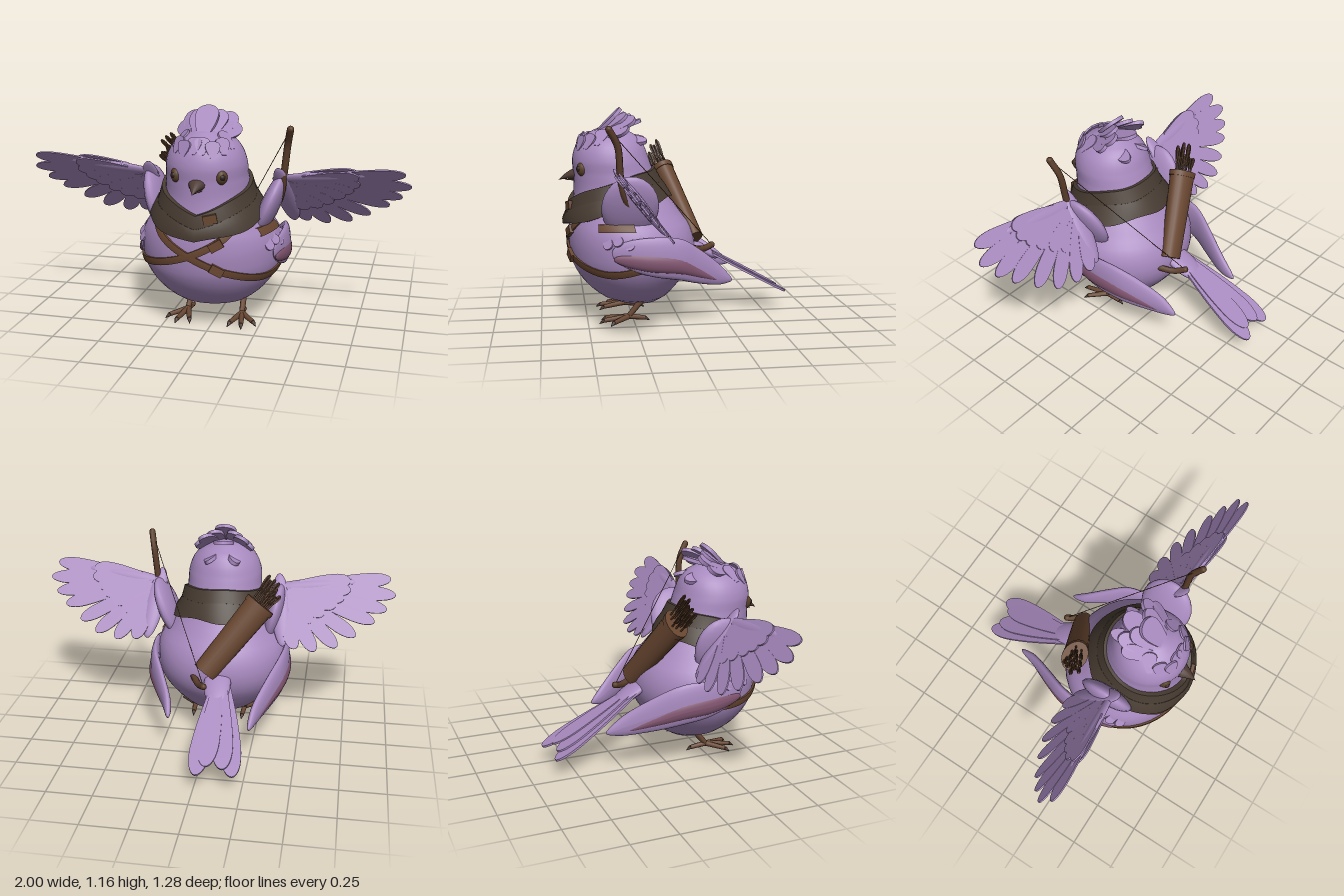
import * as THREE from 'three';
import { toCreasedNormals } from 'three/addons/utils/BufferGeometryUtils.js';
import { ParametricGeometry } from 'three/addons/geometries/ParametricGeometry.js';

const material = (name, color) => {
  const m = new THREE.MeshStandardMaterial({ color, side: THREE.DoubleSide });
  m.name = name;
  return m;
};
const V = (x, y, z) => new THREE.Vector3(x, y, z);
const CX = -0.03; // the body's middle line

// Body cross-sections: height, half width, front z, back z
const ROWS = [
  [0.08, 0.005, 0.22, 0.2], [0.088, 0.13, 0.33, 0.1], [0.12, 0.2, 0.41, 0.05], [0.2, 0.29, 0.505, -0.02],
  [0.3, 0.355, 0.57, -0.085], [0.4, 0.375, 0.592, -0.105], [0.5, 0.362, 0.592, -0.08], [0.6, 0.298, 0.575, -0.01],
  [0.7, 0.232, 0.562, 0.06], [0.8, 0.213, 0.562, 0.12], [0.88, 0.208, 0.567, 0.15], [0.95, 0.183, 0.548, 0.175],
  [1.0, 0.138, 0.508, 0.21], [1.035, 0.08, 0.45, 0.27], [1.05, 0.004, 0.37, 0.36],
];
const LAST = ROWS.length - 1;

function section(y) {
  let i = 0;
  while (i < LAST - 1 && y > ROWS[i + 1][0]) i++;
  const slope = (k, c) => {
    const a = ROWS[Math.max(k - 1, 0)], b = ROWS[Math.min(k + 1, LAST)];
    return (b[c] - a[c]) / (b[0] - a[0]);
  };
  const p = ROWS[i], q = ROWS[i + 1], h = q[0] - p[0];
  const t = THREE.MathUtils.clamp((y - p[0]) / h, 0, 1);
  return [1, 2, 3].map((c) => {
    if (i < 2 || i > LAST - 3) return p[c] + (q[c] - p[c]) * t;
    const t2 = t * t, t3 = t2 * t;
    return (2 * t3 - 3 * t2 + 1) * p[c] + (t3 - 2 * t2 + t) * h * slope(i, c)
      + (3 * t2 - 2 * t3) * q[c] + (t3 - t2) * h * slope(i + 1, c);
  });
}

// Point on the body: angle 0 is the front, positive towards +x
function bodyPoint(y, a, off = 0) {
  const [w, f, b] = section(y);
  return V(CX + (w + off) * Math.sin(a), y, (f + b) / 2 + ((f - b) / 2 + off) * Math.cos(a));
}

// Unit feather: runs along y from 0 to 1, flat in z
function featherGeometry() {
  const s = new THREE.Shape();
  s.moveTo(-0.16, 0);
  s.bezierCurveTo(-0.35, 0.3, -0.5, 0.5, -0.5, 0.75);
  s.bezierCurveTo(-0.48, 0.92, -0.22, 1, 0, 1);
  s.bezierCurveTo(0.22, 1, 0.48, 0.92, 0.5, 0.75);
  s.bezierCurveTo(0.5, 0.5, 0.35, 0.3, 0.16, 0);
  return new THREE.ExtrudeGeometry(s, { depth: 1, bevelEnabled: false, curveSegments: 6 }).translate(0, 0, -0.5);
}
const FEATHER = featherGeometry();
const BLOB = new THREE.SphereGeometry(0.5, 20, 14).translate(0, 0.5, 0);

// Places a unit geometry from one point to another, with width, thickness and facing
function put(parent, name, geo, mat, from, to, w, t, facing) {
  const dir = to.clone().sub(from), len = dir.length();
  dir.normalize();
  const n = (facing || (Math.abs(dir.z) < 0.9 ? V(0, 0, 1) : V(1, 0, 0))).clone();
  n.addScaledVector(dir, -n.dot(dir)).normalize();
  const m = new THREE.Mesh(geo, mat);
  m.name = name;
  m.quaternion.setFromRotationMatrix(new THREE.Matrix4().makeBasis(dir.clone().cross(n), dir, n));
  m.position.copy(from);
  m.scale.set(w, len, t);
  parent.add(m);
  return m;
}
const rod = (parent, name, mat, from, to, r0, r1, sides = 8, w = 1, facing = undefined) =>
  put(parent, name, new THREE.CylinderGeometry(r1, r0, 1, sides).translate(0, 0.5, 0), mat, from, to, w, 1, facing);

export function createModel() {
  const model = new THREE.Group();
  const plumage = material('purple plumage', 0xa88abf), patch = material('plum wing patch', 0x80546f);
  const cloth = material('dark scarf cloth', 0x473b31), leather = material('brown leather', 0x684630);
  const wood = material('dark wood', 0x593c29), skin = material('brown feet', 0x684733);
  const horn = material('dark beak', 0x4f3c35), iris = material('brown eye', 0x5a4029), black = material('pupil', 0x2c211b);
  const mesh = (name, geo, mat, parent = model) => {
    const m = new THREE.Mesh(geo, mat);
    m.name = name;
    parent.add(m);
    return m;
  };

  // Body and head in one smooth form
  mesh('body', new ParametricGeometry((u, v, p) => {
    const s = v * LAST, i = Math.min(Math.floor(s), LAST - 1);
    p.copy(bodyPoint(ROWS[i][0] + (ROWS[i + 1][0] - ROWS[i][0]) * (s - i), u * Math.PI * 2));
  }, 40, LAST * 3), plumage);

  // Bands wrapped around the body; f(t) gives angle, low y, high y, thickness
  const wrap = (name, mat, n, f) => mesh(name, toCreasedNormals(new ParametricGeometry((u, v, p) => {
    const [a, lo, hi, off] = f(u), k = Math.round(v * 5) % 5;
    const y = [lo, lo, (lo + hi) / 2, hi, hi][k];
    p.copy(bodyPoint(y, a, [-0.01, off, off * 1.25, off, -0.01][k]));
  }, n, 5), 0.7), mat);
  const scarf = (name, lo, hi, off, ripple) => wrap(name, cloth, 56, (t) => {
    const a = t * Math.PI * 2, lift = Math.abs(Math.sin(a / 2));
    const r = ripple * Math.sin(a * 5 + 1);
    return [a, lo + 0.16 * lift + r, hi + 0.18 * lift - r * 0.5, off * (1 - 0.4 * lift)];
  });
  scarf('scarf', 0.53, 0.65, 0.026, 0.006);
  scarf('scarfFold', 0.515, 0.585, 0.034, 0.008);
  const strap = (name, pts) => {
    const c = new THREE.CatmullRomCurve3(pts.map(([a, y]) => V(a, y, 0)));
    wrap(name, leather, 36, (t) => {
      const p = c.getPoint(t);
      return [p.x, p.y - 0.02, p.y + 0.02, 0.01];
    });
  };
  strap('quiverStrap', [[-1.9, 0.35], [-1.15, 0.345], [-0.6, 0.375], [-0.1, 0.435], [0.35, 0.52], [0.6, 0.58]]);
  strap('bowStrap', [[-0.8, 0.58], [-0.45, 0.5], [0, 0.415], [0.4, 0.35], [1.1, 0.295], [1.9, 0.35]]);
  strap('shoulderStrap', [[1.0, 0.54], [1.3, 0.545], [1.6, 0.545]]);
  for (const [y, a, tilt] of [[0.368, 0.28, -0.5], [0.635, 0.25, 0.2], [0.5, 0.28, 0.5]]) {
    const b = mesh('buckle', new THREE.BoxGeometry(0.07, 0.045, 0.02), leather);
    b.position.copy(bodyPoint(y, a, y > 0.6 ? 0.03 : 0.012));
    b.rotation.set(0, a, tilt, 'YXZ');
  }

  // Face, with a hooked beak
  const beak = new THREE.ConeGeometry(0.5, 1, 14, 6).translate(0, 0.5, 0), bp = beak.attributes.position;
  for (let i = 0; i < bp.count; i++) bp.setZ(i, bp.getZ(i) + 0.45 * bp.getY(i) * (1 - bp.getY(i)));
  beak.computeVertexNormals();
  put(model, 'upperBeak', beak, horn, V(CX, 0.796, 0.53), V(CX, 0.764, 0.642), 0.11, 0.08, V(0, 1, 0));
  put(model, 'lowerBeak', new THREE.ConeGeometry(0.5, 1, 12).translate(0, 0.5, 0), horn,
    V(CX, 0.774, 0.53), V(CX, 0.763, 0.61), 0.09, 0.03, V(0, 1, 0));
  for (const s of [-1, 1]) {
    const eye = mesh('eye', new THREE.SphereGeometry(1, 20, 14), iris);
    eye.scale.set(0.031, 0.041, 0.039);
    eye.position.copy(bodyPoint(0.834, s * 0.63, -0.018));
    const pupil = mesh('pupil', new THREE.SphereGeometry(0.017, 14, 10), black);
    pupil.position.copy(bodyPoint(0.836, s * 0.6, 0.007));
  }

  // Crest: tip and width of each feather, mirrored when off the middle
  const crest = [[0, 1.15, 0.3, 0.12], [0.115, 1.1, 0.23, 0.09], [0, 1.085, 0.19, 0.11], [0.15, 1.05, 0.27, 0.085],
    [0.075, 0.975, 0.165, 0.075], [0.065, 1.12, 0.27, 0.09]];
  for (const s of [-1, 1]) {
    for (const [x, y, z, w] of crest) if (x || s > 0)
      put(model, 'crestFeather', FEATHER, plumage, V(CX + s * x * 0.4, 1.0, 0.45), V(CX + s * x, y, z), w, 0.02, V(s * x * 4, 0.8, 0.6));
    for (const [a, y] of [[0.12, 0.945], [0.42, 0.93], [0.75, 0.94], [1.1, 0.96]])
      put(model, 'foreheadTuft', FEATHER, plumage, bodyPoint(y, s * a, -0.004), bodyPoint(y + 0.08, s * a * 1.1, 0.035), 0.075, 0.01,
        V(s * Math.sin(a), 0.5, Math.cos(a)));
  }

  // Raised wings: feathers fanned in one slanted plane
  const tips = [[0.97, 0.86], [1.0, 0.785], [0.955, 0.715], [0.89, 0.655], [0.79, 0.585], [0.69, 0.53], [0.57, 0.505], [0.46, 0.51]];
  for (const s of [-1, 1]) {
    const wing = new THREE.Group();
    wing.name = s > 0 ? 'leftWing' : 'rightWing';
    model.add(wing);
    const P = (x, y, off = 0) => V(s * x, y + off * 0.61, 0.37 - (0.86 - y) * 0.77 - off * 0.79);
    const n = V(0, 0.61, -0.79);
    tips.forEach(([x, y], i) => {
      const k = i / (tips.length - 1), bx = 0.52 - 0.16 * k, by = 0.82 - 0.1 * k;
      put(wing, 'flightFeather', FEATHER, plumage, P(bx, by, i * 0.002), P(x, y, i * 0.002), 0.084, 0.008, n);
      for (const side of [-1, 1])
        put(wing, 'covertFeather', FEATHER, plumage, P(bx - 0.06, by, side * 0.01),
          P(bx + (x - bx) * 0.5, by + (y - by) * 0.5, side * 0.012), 0.085, 0.008, n);
    });
    put(wing, 'wingArm', BLOB, plumage, P(0.3, 0.79), P(0.78, 0.84), 0.075, 0.035, n);
    put(wing, 'wingRoot', BLOB, plumage, P(0.34, 0.86), P(0.39, 0.52), 0.11, 0.05, n);
    put(wing, 'shoulder', BLOB, plumage, V(CX + s * 0.25, 0.48, 0.28), V(s * 0.36, 0.82, 0.28), 0.1, 0.3);

    // Folded wings along the flanks, bent from spheres; the right one is longer
    const reach = s > 0 ? 0.8 : 1;
    const spine = new THREE.CatmullRomCurve3([V(0.355, 0.42, 0.38), V(0.375, 0.4, 0.2), V(0.355, 0.378, 0.03),
      V(0.305, 0.33, -0.1), V(0.245, 0.268, -0.25), V(0.225, 0.23, -0.35)]);
    const flank = (name, mat, u0, u1, drop, height, thick, out) => {
      const g = new THREE.SphereGeometry(1, 20, 28).rotateX(Math.PI / 2), p = g.attributes.position;
      for (let i = 0; i < p.count; i++) {
        const u = (1 - p.getZ(i)) / 2, c = spine.getPoint(u0 + (u1 - u0) * u);
        p.setXYZ(i, CX + s * (c.x + out + s * p.getX(i) * thick), c.y - drop + p.getY(i) * height * (1.1 - 0.7 * u * u),
          c.z < 0 ? c.z * reach : c.z);
      }
      g.computeVertexNormals();
      mesh(name, g, mat);
    };
    flank('foldedWing', plumage, 0, 1, 0, 0.115, 0.03, 0);
    flank('wingPatch', patch, 0.01, 0.82, 0.03, 0.052, 0.028, 0.009);
    for (let i = 0; i < 4; i++) {
      const a = s * (1.1 + i * 0.16);
      put(model, 'flankTuft', FEATHER, plumage, bodyPoint(0.52, a, -0.02), bodyPoint(0.44 + 0.02 * (i % 2), a * 1.04, 0.014), 0.055, 0.01,
        V(Math.sin(a), 0, Math.cos(a)));
    }

    // Legs and toes
    const FX = -0.012, ankle = V(FX + s * 0.15, 0.03, 0.28);
    rod(model, 'leg', skin, V(FX + s * 0.145, 0.14, 0.19), ankle, 0.018, 0.015);
    for (const [x, z] of [[0.11, 0.4], [0.175, 0.415], [0.23, 0.365], [0.145, 0.19]]) {
      const end = V(FX + s * x, 0.018, z);
      rod(model, 'toe', skin, ankle, end, 0.016, 0.012);
      const claw = end.clone().add(end.clone().sub(ankle).setY(0).setLength(0.025)).setY(0.003);
      rod(model, 'claw', horn, end, claw, 0.012, 0.002);
    }
  }

  // Tail
  put(model, 'rump', BLOB, plumage, V(-0.04, 0.44, 0.0), V(-0.07, 0.3, -0.25), 0.15, 0.06, V(0, 0.88, -0.48));
  [[-0.1, -0.205, 0.098, -0.615], [-0.05, -0.015, 0.1, -0.635], [-0.08, -0.15, 0.115, -0.59], [-0.06, -0.06, 0.12, -0.59]]
    .forEach(([x0, x1, y, z], i) => put(model, 'tailFeather', FEATHER, plumage,
      V(x0, 0.385 + i * 0.005, -0.1), V(x1, y + i * 0.004, z), 0.115, 0.012, V(0, 0.88, -0.48)));

  // Quiver, flattened against the back, with arrows
  const mouth = V(-0.265, 0.79, 0.045), base = V(0.02, 0.43, -0.1), outward = V(-0.15, 0.3, -1);
  const axis = mouth.clone().sub(base).normalize();
  const along = (d) => mouth.clone().addScaledVector(axis, d);
  rod(model, 'quiver', leather, base, mouth, 0.05, 0.062, 20, 1.35, outward);
  rod(model, 'quiverRim', leather, along(-0.025), along(0.005), 0.065, 0.066, 20, 1.35, outward);
  const side = axis.clone().cross(outward).normalize(), up = axis.clone().cross(side);
  for (let i = 0; i < 13; i++) {
    const a = i * 2.4, r = 0.016 * Math.sqrt(i);
    const spread = (k) => side.clone().multiplyScalar(Math.cos(a) * r * k * 1.2).addScaledVector(up, Math.sin(a) * r * k * 0.8);
    const from = along(-0.02).add(spread(0.9)), to = along(0.09 + 0.07 * ((i * 7 % 5) / 4)).add(spread(1.1));
    rod(model, 'arrow', wood, from, to, 0.005, 0.005, 6);
    for (const f of [side, up])
      put(model, 'fletching', FEATHER, wood, from.clone().lerp(to, 0.4), to, 0.024, 0.004, f);
  }

  // Bow slung behind, with its string
  const top = V(0.405, 1.065, 0.395), foot = V(0.01, 0.39, -0.2);
  mesh('bow', new THREE.TubeGeometry(new THREE.CatmullRomCurve3([top, V(0.385, 0.98, 0.35), V(0.365, 0.82, 0.335),
    V(0.345, 0.7, 0.31), V(0.26, 0.56, 0.2), V(0.15, 0.44, 0.04), V(0.05, 0.375, -0.14), foot]), 40, 0.018, 8), wood);
  for (const p of [top, foot]) mesh('bowTip', new THREE.SphereGeometry(0.018, 10, 8), wood).position.copy(p);
  rod(model, 'bowString', wood, top, foot, 0.002, 0.002, 5);

  return model;
}
